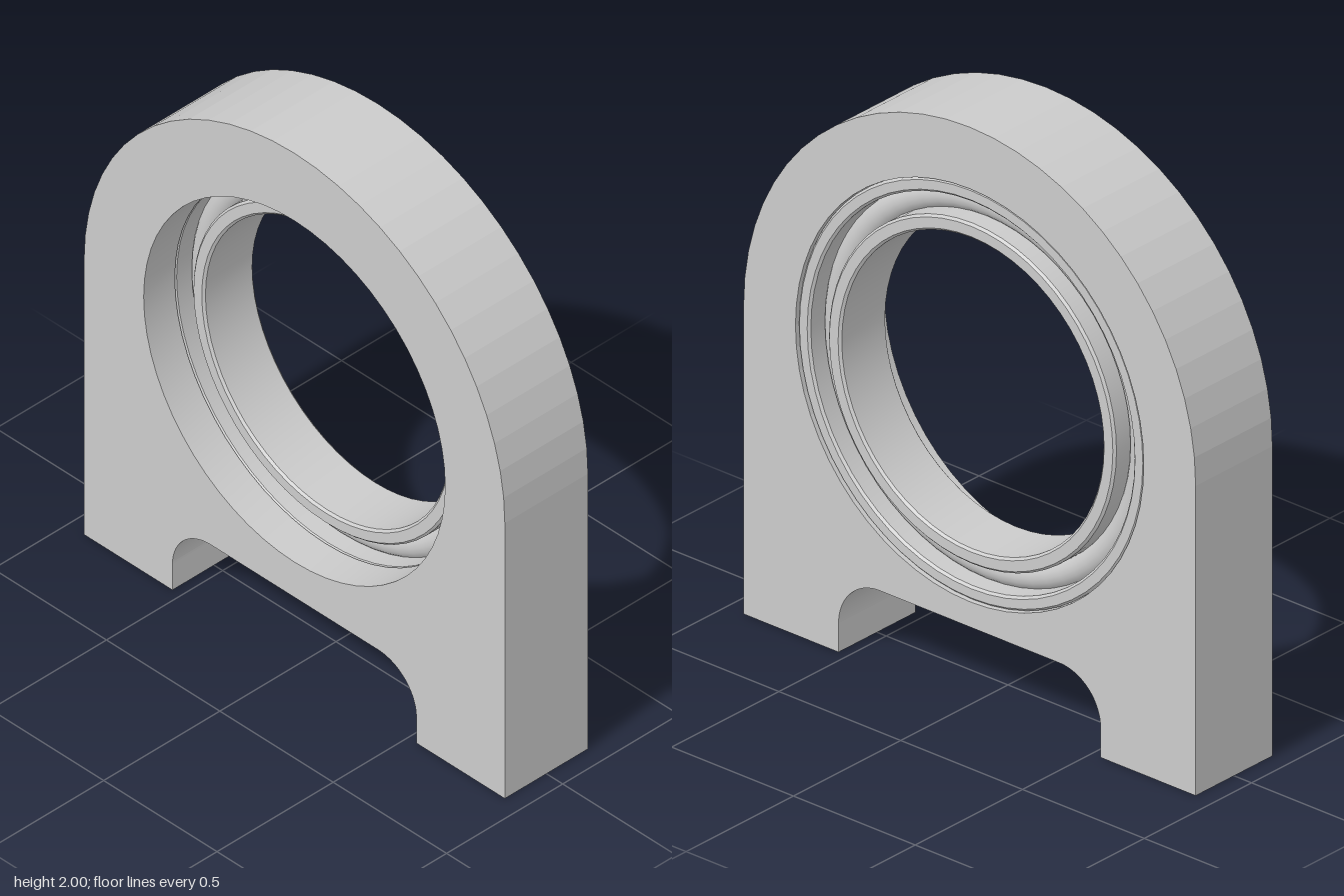
import * as THREE from 'three';
import { toCreasedNormals } from 'three/addons/utils/BufferGeometryUtils.js';

const R = 0.928, CY = 2 - R;          // arch radius and bore axis height
const HALF = 0.179;                   // half thickness along x
const SEAT = 0.715, LIP = 0.665;      // bearing seat and retaining lip radii
const BACK = -0.045, FRONT = 0.172;   // bearing extent along x
const SLOT = 0.538, SLOT_TOP = 0.27, FILLET = 0.17;
const BOLT_Z = 0.752, BOLT_R = 0.075, BOLT_DEPTH = 0.45;

const grey = new THREE.MeshStandardMaterial({ color: 0xcccccc });

function addMesh(parent, name, geometry) {
  const mesh = new THREE.Mesh(geometry, grey);
  mesh.name = name;
  parent.add(mesh);
  return mesh;
}

// Closed ring around the x axis, from a counter-clockwise [radius, x] profile
function ringGeometry(profile) {
  const pts = [...profile, profile[0]].map(([r, x]) => new THREE.Vector2(r, x));
  const geo = new THREE.LatheGeometry(pts, 60).rotateX(0).rotateZ(-Math.PI / 2);
  return toCreasedNormals(geo, 0.4).translate(0, CY, 0);
}

// Rectangular ring section with small chamfers on all four edges
function chamferedRing(inner, outer, x0, x1, c) {
  return ringGeometry([
    [inner + c, x0], [outer - c, x0], [outer, x0 + c], [outer, x1 - c],
    [outer - c, x1], [inner + c, x1], [inner, x1 - c], [inner, x0 + c],
  ]);
}

// Arched housing; the foot soles are left out so they can carry bolt holes
function housingGeometry() {
  const s = new THREE.Shape();
  s.moveTo(SLOT, 0);
  s.lineTo(R, 0);
  s.lineTo(R, CY);
  s.absarc(0, CY, R, 0, Math.PI, false);
  s.lineTo(-R, 0);
  s.lineTo(-SLOT, 0);
  s.lineTo(-SLOT, SLOT_TOP - FILLET);
  s.absarc(-SLOT + FILLET, SLOT_TOP - FILLET, FILLET, Math.PI, Math.PI / 2, true);
  s.lineTo(SLOT - FILLET, SLOT_TOP);
  s.absarc(SLOT - FILLET, SLOT_TOP - FILLET, FILLET, Math.PI / 2, 0, true);
  s.lineTo(SLOT, 0);

  const bore = new THREE.Path();
  bore.absarc(0, CY, SEAT, 0, Math.PI, false);
  bore.absarc(0, CY, SEAT, Math.PI, Math.PI * 2, false);
  s.holes.push(bore);

  const full = new THREE.ExtrudeGeometry(s, { depth: HALF * 2, bevelEnabled: false, curveSegments: 15 });
  full.translate(0, 0, -HALF).rotateY(Math.PI / 2);

  const p = full.attributes.position;
  const kept = [];
  for (let i = 0; i < p.count; i += 3) {
    const onSole = [0, 1, 2].every((k) => Math.abs(p.getY(i + k)) < 1e-5);
    if (!onSole) for (let k = 0; k < 3; k++) kept.push(p.getX(i + k), p.getY(i + k), p.getZ(i + k));
  }
  const geo = new THREE.BufferGeometry();
  geo.setAttribute('position', new THREE.Float32BufferAttribute(kept, 3));
  geo.computeVertexNormals();
  return geo;
}

// Sole plate with a blind bolt hole going up into the leg
function addFoot(parent, side) {
  const foot = new THREE.Group();
  foot.name = side > 0 ? 'frontFoot' : 'backFoot';
  parent.add(foot);

  const a = side > 0 ? SLOT : -R, b = side > 0 ? R : -SLOT;
  const s = new THREE.Shape();
  s.moveTo(-HALF, a);
  s.lineTo(HALF, a);
  s.lineTo(HALF, b);
  s.lineTo(-HALF, b);
  s.closePath();
  const hole = new THREE.Path();
  hole.absarc(0, side * BOLT_Z, BOLT_R, 0, Math.PI * 2, true);
  s.holes.push(hole);
  addMesh(foot, 'sole', new THREE.ShapeGeometry(s, 16).rotateX(Math.PI / 2));

  // Mirrored profile order turns the wall inward; the last point closes the end
  const wall = [[0, BOLT_DEPTH], [BOLT_R, BOLT_DEPTH], [BOLT_R, 0]].map(([r, y]) => new THREE.Vector2(r, y));
  const geo = toCreasedNormals(new THREE.LatheGeometry(wall, 32), 0.4);
  addMesh(foot, 'boltHole', geo.translate(0, 0, side * BOLT_Z));
}

export function createModel() {
  const model = new THREE.Group();
  model.name = 'bearingBlock';

  // Housing
  const housing = new THREE.Group();
  housing.name = 'housing';
  model.add(housing);
  addMesh(housing, 'archedBody', housingGeometry());
  addMesh(housing, 'retainingLip', ringGeometry([
    [LIP, -HALF], [SEAT, -HALF], [SEAT, BACK], [LIP, BACK],
  ]));
  for (const side of [1, -1]) addFoot(housing, side);

  // Bearing pressed in from the +x side
  const bearing = new THREE.Group();
  bearing.name = 'bearing';
  model.add(bearing);
  addMesh(bearing, 'outerRace', chamferedRing(LIP, SEAT - 0.002, BACK, FRONT, 0.008));
  addMesh(bearing, 'innerRace', chamferedRing(0.538, 0.59, BACK, FRONT, 0.008));
  const rollers = new THREE.TorusGeometry((LIP + 0.59) / 2, 0.052, 20, 60).rotateY(Math.PI / 2);
  addMesh(bearing, 'rollingElementRing', rollers.translate((BACK + FRONT) / 2, CY, 0));

  return model;
}
